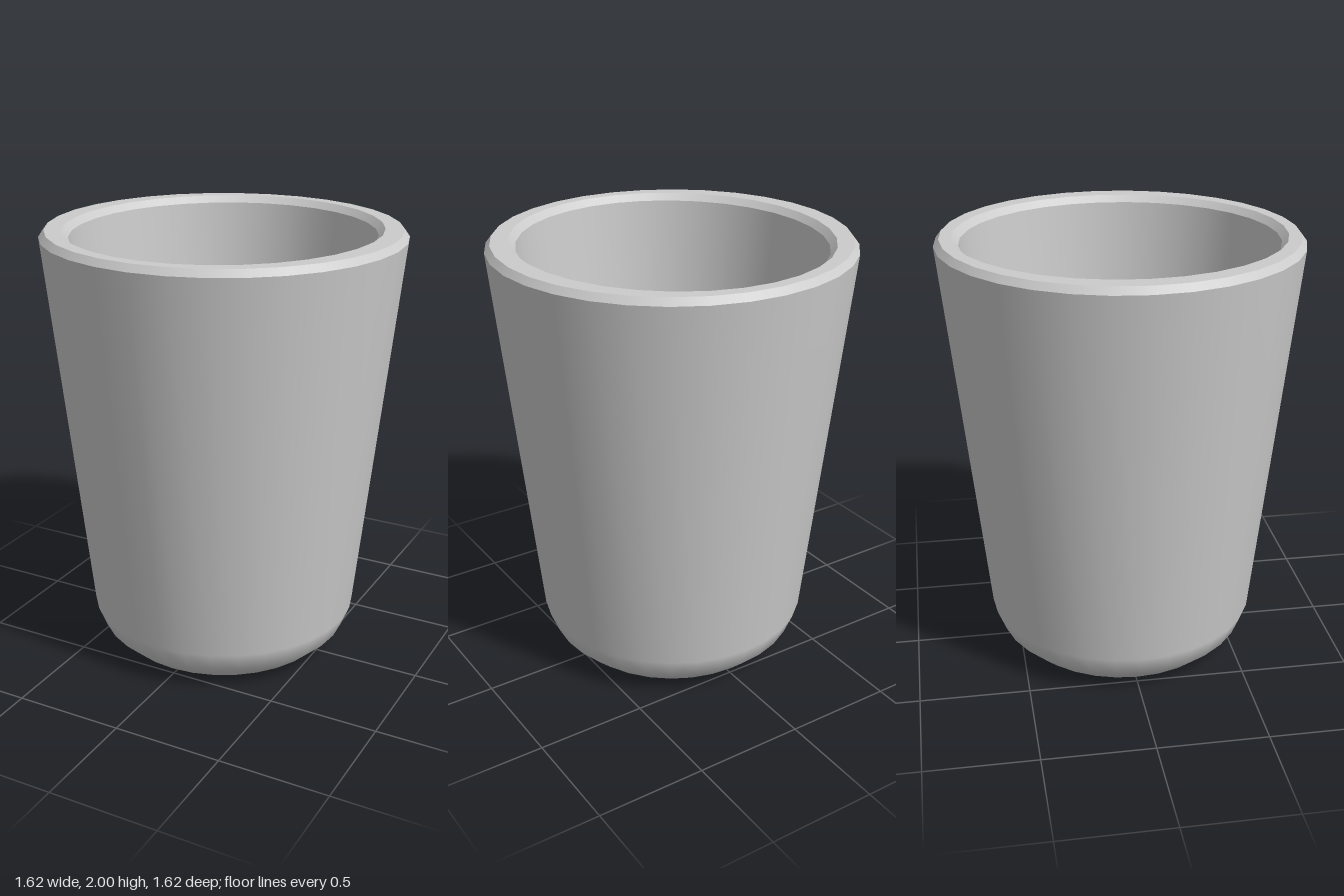
import * as THREE from 'three';

const SEGMENTS = 32;
const INNER_X = 0.955; // the hollow is slightly narrower across x

export function createModel() {
  const group = new THREE.Group();
  const material = new THREE.MeshStandardMaterial({ color: 0xcccccc });

  // Each revolved strip is its own mesh so the edges between strips stay sharp
  function addLathe(name, profile, scaleX = 1) {
    const points = profile.map(([r, y]) => new THREE.Vector2(r, y));
    const geometry = new THREE.LatheGeometry(points, SEGMENTS);
    geometry.scale(scaleX, 1, 1);
    const mesh = new THREE.Mesh(geometry, material);
    mesh.name = name;
    group.add(mesh);
    return mesh;
  }

  // Outside: base, rounded lower corner and tapered wall
  addLathe('outerBody', [
    [0, 0], [0.41, 0], [0.51, 0.03], [0.585, 0.1], [0.625, 0.2], [0.812, 1.97],
  ]);

  // Rim: outer chamfer, flat top, inner chamfer
  addLathe('rimOuterChamfer', [[0.812, 1.97], [0.788, 2]]);
  const rimTop = addLathe('rimTop', [[0.788, 2], [0.734, 2]]);
  addLathe('rimInnerChamfer', [[0.734, 2], [0.705, 1.97]], INNER_X);

  // Draw the inner edge of the flat rim in to meet the oval hollow
  const position = rimTop.geometry.attributes.position;
  for (let i = 0; i < position.count; i++) {
    const x = position.getX(i);
    if (Math.hypot(x, position.getZ(i)) < 0.76) position.setX(i, x * INNER_X);
  }

  // Hollow: tapered wall, rounded corner and floor
  addLathe('innerBowl', [
    [0.705, 1.97], [0.545, 0.29], [0.51, 0.2], [0.445, 0.14], [0.36, 0.11], [0, 0.11],
  ], INNER_X);

  return group;
}
